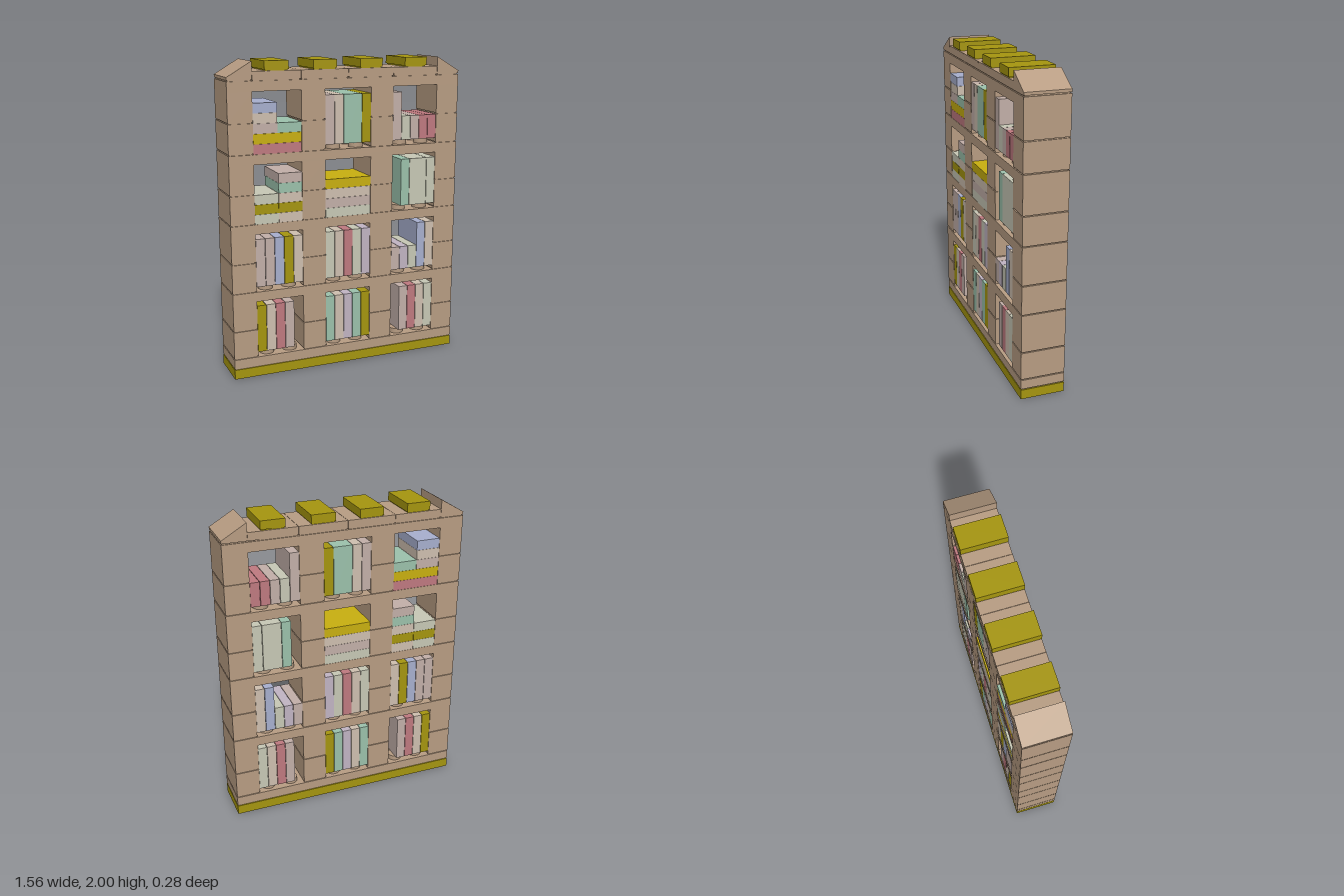
import * as THREE from 'three';

const PITCH = 0.156, PLATE = 0.0625, W = 1.56, D = 0.285;

const COLORS = {
  brown: 0xb89d83, olive: 0xa6960f, yellow: 0xc9b010, mint: 0x9cc2ac, pink: 0xc07a80,
  beige: 0xcfc0b0, mauve: 0xc3b0a9, pale: 0xc8c9b6, lavender: 0xc2b5c4, blue: 0xa8b0cf,
};
const mats = {};
function mat(name) {
  mats[name] ??= new THREE.MeshStandardMaterial({ color: COLORS[name] });
  return mats[name];
}

// box given by its x and y ranges, centred on z (or at z)
function box(parent, name, color, x0, x1, y0, y1, depth = D, z = 0) {
  const m = new THREE.Mesh(new THREE.BoxGeometry(x1 - x0, y1 - y0, depth), mat(color));
  m.position.set((x0 + x1) / 2, (y0 + y1) / 2, z);
  m.name = name;
  parent.add(m);
  return m;
}

// solid block with a thin recessed seam along its lower edge
function block(parent, name, color, x0, x1, y0, y1) {
  const g = new THREE.Group();
  g.name = name;
  const s = 0.007;
  box(g, 'body', color, x0, x1, y0 + s, y1);
  box(g, 'seam', color, x0 + s, x1 - s, y0, y0 + s, D - 2 * s);
  parent.add(g);
}

// full-width plate, hollow underneath with a row of tubes
function hollowPlate(parent, name, color, y0) {
  const g = new THREE.Group();
  g.name = name;
  const t = 0.026, y1 = y0 + PLATE, roof = y1 - 0.02, h = roof - y0;
  box(g, 'top', color, -W / 2, W / 2, roof, y1);
  for (const s of [-1, 1]) {
    box(g, 'longWall', color, -W / 2, W / 2, y0, roof, t, s * (D - t) / 2);
    const x = s * (W - t) / 2;
    box(g, 'endWall', color, x - t / 2, x + t / 2, y0, roof, D - 2 * t);
  }
  const ro = 0.06, ri = 0.046;
  const ring = new THREE.LatheGeometry(
    [[ri, h], [ri, 0], [ro, 0], [ro, h]].map(p => new THREE.Vector2(...p)), 16);
  const ringMat = new THREE.MeshStandardMaterial({
    color: COLORS[color], side: THREE.DoubleSide, flatShading: true });
  for (let i = -4; i <= 4; i++) {
    const tube = new THREE.Mesh(ring, ringMat);
    tube.name = 'tube';
    tube.position.set(i * PITCH, y0, 0);
    g.add(tube);
  }
  parent.add(g);
}

// 2 x 2 round pegs carrying the upright books of one bay
function pegs(parent, cx, y) {
  const geo = new THREE.CylinderGeometry(0.047, 0.047, 0.033, 20);
  for (const sx of [-1, 1]) for (const sz of [-1, 1]) {
    const p = new THREE.Mesh(geo, mat('brown'));
    p.name = 'peg';
    p.position.set(cx + sx * PITCH / 2, y + 0.0165, sz * 0.071);
    parent.add(p);
  }
}

// upright books: [colour, slot, height, slots wide]
function uprightBooks(parent, cx, y, list) {
  pegs(parent, cx, y);
  const w = 0.0624, y0 = y + 0.033;
  for (const [color, slot, h = 0.31, n = 1] of list) {
    const x = cx - PITCH + slot * w;
    box(parent, 'book', color, x + 0.0015, x + n * w - 0.0015, y0, y0 + h, D - 0.004);
  }
}

// lying books: [colour, level, first half, halves wide]
function lyingBooks(parent, cx, y, list) {
  for (const [color, level, half, n] of list) {
    const x = cx - PITCH + half * PITCH, y0 = y + level * PLATE;
    box(parent, 'lyingBook', color, x + 0.001, x + n * PITCH - 0.001,
      y0, y0 + PLATE - 0.001, D - 0.004);
  }
}

export function createModel() {
  const model = new THREE.Group();
  model.name = 'bookcase';

  // base and shelves
  hollowPlate(model, 'base', 'olive', 0);
  block(model, 'bottomShelf', 'brown', -W / 2, W / 2, PLATE, 0.13);
  for (const y of [0.503, 0.94, 1.377, 1.82]) {
    hollowPlate(model, y > 1.8 ? 'topBeam' : 'shelf', 'brown', y);
  }

  // columns between the shelves
  const rises = [[0.13, 0.315], [0.315, 0.503], [0.565, 0.755], [0.755, 0.94],
    [1.002, 1.19], [1.19, 1.377], [1.44, 1.63], [1.63, 1.82]];
  for (const x of [-0.78, -0.312, 0.156, 0.624]) {
    for (const [y0, y1] of rises) block(model, 'column', 'brown', x, x + PITCH, y0, y1);
  }

  // cornice tiles with a crown block on each
  for (let i = 0; i < 4; i++) {
    const x = -0.624 + i * 0.312;
    block(model, 'corniceTile', 'brown', x + 0.001, x + 0.311, 1.8825, 1.94);
    block(model, 'crownBlock', 'olive', x + 0.079, x + 0.233, 1.94, 2);
  }

  // sloped end pieces, mirrored
  for (const s of [-1, 1]) {
    const pts = [[0.624, 1.89], [0.78, 1.89], [0.78, 1.908], [0.624, 2]];
    const shape = new THREE.Shape(pts.map(([x, y]) => new THREE.Vector2(s * x, y)));
    const geo = new THREE.ExtrudeGeometry(shape, { depth: D, bevelEnabled: false });
    geo.translate(0, 0, -D / 2);
    const slope = new THREE.Mesh(geo, mat('brown'));
    slope.name = 'endSlope';
    model.add(slope);
    box(model, 'slopeSeam', 'brown', s * 0.702 - 0.071, s * 0.702 + 0.071, 1.8825, 1.89, D - 0.014);
  }

  // books
  const books = new THREE.Group();
  books.name = 'books';
  model.add(books);
  const L = -0.468, M = 0, R = 0.468;
  const row = names => names.map((n, i) => [n, i]);

  // first row
  uprightBooks(books, L, 0.13, row(['olive', 'beige', 'pink', 'mauve']));
  uprightBooks(books, M, 0.13, row(['mint', 'beige', 'lavender', 'mint', 'olive']));
  uprightBooks(books, R, 0.13, [['mauve', 1], ['pink', 2], ['beige', 3], ['pale', 4]]);

  // second row
  uprightBooks(books, L, 0.565, row(['mauve', 'mauve', 'blue', 'olive', 'beige']));
  uprightBooks(books, M, 0.565, row(['pale', 'beige', 'pink', 'pale', 'lavender']));
  uprightBooks(books, R, 0.565, [['mauve', 0, 0.155], ['lavender', 1, 0.155],
    ['pale', 2, 0.155], ['blue', 3], ['beige', 4]]);

  // third row
  lyingBooks(books, L, 1.002, [['pale', 0, 0, 1], ['olive', 1, 0, 1], ['pale', 2, 0, 1],
    ['beige', 0, 1, 1], ['olive', 1, 1, 1], ['beige', 2, 1, 1], ['mint', 3, 1, 1], ['mauve', 4, 1, 1]]);
  lyingBooks(books, M, 1.002, [['pale', 0, 0, 2], ['mauve', 1, 0, 2], ['beige', 2, 0, 2], ['yellow', 3, 0, 2]]);
  uprightBooks(books, R, 1.002, [['mint', 1], ['pale', 2, 0.31, 2], ['pale', 4]]);

  // fourth row
  lyingBooks(books, L, 1.44, [['pink', 0, 0, 2], ['yellow', 1, 0, 2], ['mauve', 2, 0, 1],
    ['beige', 3, 0, 1], ['blue', 4, 0, 1], ['mint', 2, 1, 1]]);
  uprightBooks(books, M, 1.44, [['mauve', 0], ['beige', 1], ['mint', 2, 0.31, 2], ['olive', 4]]);
  uprightBooks(books, R, 1.44, [['mauve', 0], ['pale', 1, 0.155], ['mauve', 2, 0.155],
    ['pink', 3, 0.155], ['pink', 4, 0.155]]);

  return model;
}
